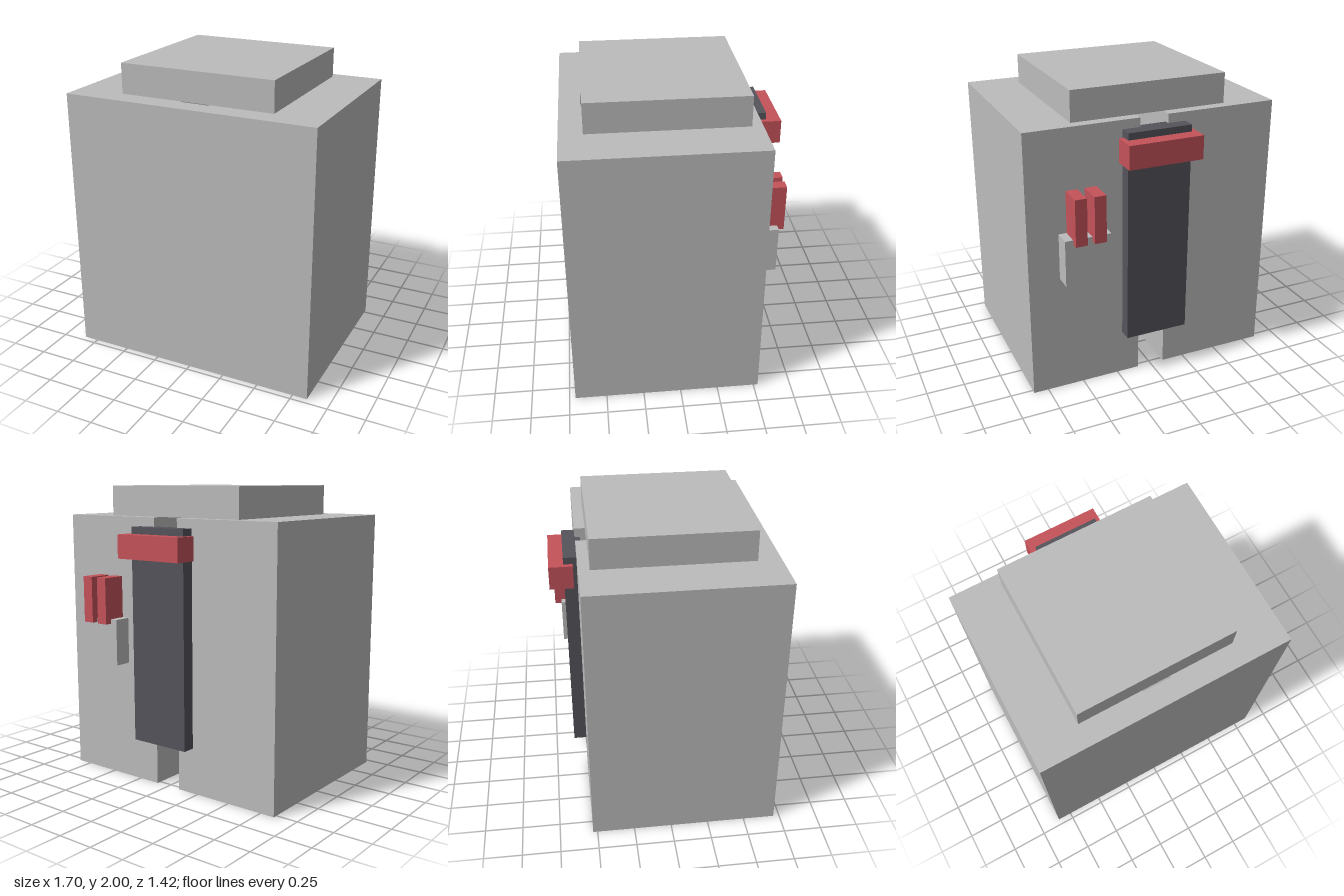
import * as THREE from 'three';

const material = (name, color) => {
  const m = new THREE.MeshStandardMaterial({ color });
  m.name = name;
  return m;
};

export function createModel() {
  const group = new THREE.Group();
  const grey = material('lightGrey', 0xbcbcbd);
  const red = material('red', 0xc4535a);
  const dark = material('darkGrey', 0x54545b);

  // Adds a box given its extents on each axis
  const box = (name, mat, [x0, x1], [y0, y1], [z0, z1]) => {
    const mesh = new THREE.Mesh(new THREE.BoxGeometry(x1 - x0, y1 - y0, z1 - z0), mat);
    mesh.position.set((x0 + x1) / 2, (y0 + y1) / 2, (z0 + z1) / 2);
    mesh.name = name;
    group.add(mesh);
  };

  // Body: plan outline with a deep slot cut in from the back, extruded upward
  const outline = [
    [-0.85, -0.71], [0.85, -0.71], [0.85, 0.53], [0.095, 0.53],
    [0.095, -0.57], [-0.095, -0.57], [-0.095, 0.53], [-0.85, 0.53],
  ].map(([x, y]) => new THREE.Vector2(x, y));
  const bodyGeometry = new THREE.ExtrudeGeometry(new THREE.Shape(outline), { depth: 1.8, bevelEnabled: false });
  bodyGeometry.rotateX(-Math.PI / 2);
  const body = new THREE.Mesh(bodyGeometry, grey);
  body.name = 'slottedBody';
  group.add(body);

  // Raised cap bridging the slot
  box('cap', grey, [-0.525, 0.525], [1.8, 2], [-0.46, 0.56]);

  // Sliding plate with a tongue that runs in the slot, and its grip
  box('sliderPlate', dark, [-0.215, 0.215], [0.31, 1.74], [-0.615, -0.53]);
  box('sliderTongue', dark, [-0.094, 0.094], [0.31, 1.74], [-0.53, -0.495]);
  box('sliderGrip', red, [-0.25, 0.25], [1.54, 1.695], [-0.71, -0.555]);

  // Holder with two upright levers
  box('leverHolder', grey, [0.34, 0.645], [0.81, 1.12], [-0.645, -0.53]);
  for (const x of [0.39, 0.515]) {
    box('lever', red, [x, x + 0.077], [1.09, 1.4], [-0.69, -0.53]);
  }

  return group;
}
